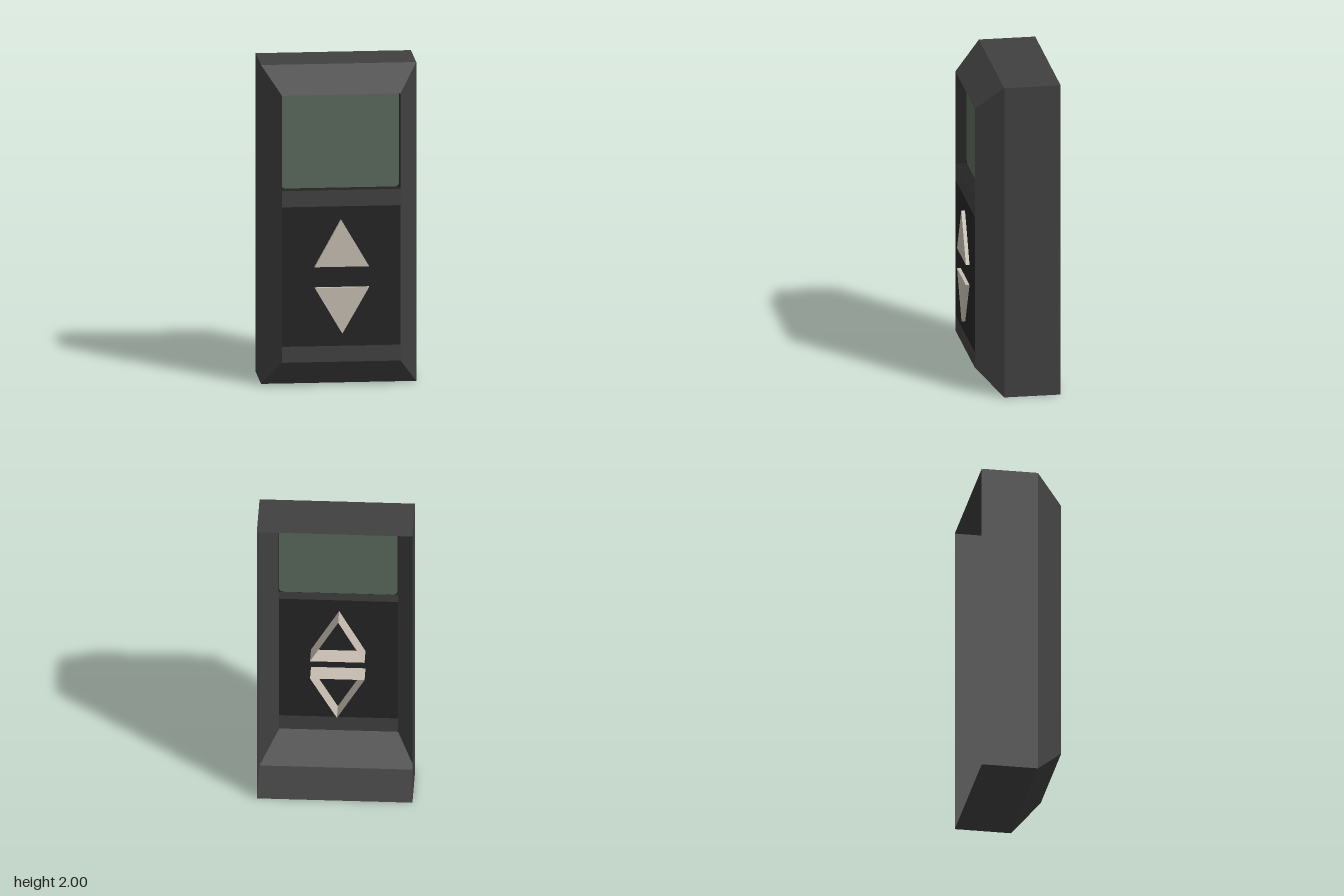
import * as THREE from 'three';

const material = (name, color) => {
  const m = new THREE.MeshStandardMaterial({ color, side: THREE.DoubleSide });
  m.name = name;
  return m;
};

// Rectangle outline, counter-clockwise seen from the front
const rect = (w, y0, y1) => [[-w, y0], [w, y0], [w, y1], [-w, y1]];

// Flat-sided skin through outlines ordered from back to front
function loft(sections) {
  const pos = [];
  for (let s = 0; s < sections.length - 1; s++) {
    const a = sections[s], b = sections[s + 1], n = a.points.length;
    for (let i = 0; i < n; i++) {
      const j = (i + 1) % n;
      const p = [...a.points[i], a.z], q = [...a.points[j], a.z];
      const r = [...b.points[j], b.z], t = [...b.points[i], b.z];
      pos.push(...p, ...q, ...r, ...p, ...r, ...t);
    }
  }
  const g = new THREE.BufferGeometry();
  g.setAttribute('position', new THREE.Float32BufferAttribute(pos, 3));
  g.computeVertexNormals();
  return g;
}

const polygon = (points) => new THREE.Shape(points.map(([x, y]) => new THREE.Vector2(x, y)));

function roundedRect(w, y0, y1, r) {
  const s = new THREE.Shape();
  s.absarc(w - r, y1 - r, r, 0, Math.PI / 2);
  s.absarc(-w + r, y1 - r, r, Math.PI / 2, Math.PI);
  s.absarc(-w + r, y0 + r, r, Math.PI, Math.PI * 1.5);
  s.absarc(w - r, y0 + r, r, Math.PI * 1.5, Math.PI * 2);
  s.closePath();
  return s;
}

export function createModel() {
  const model = new THREE.Group();
  model.name = 'handheldRemote';
  const casing = material('charcoal casing', 0x404040);
  const dark = material('black panel', 0x242424);
  const glass = material('grey green screen', 0x5a685b);
  const cream = material('warm grey buttons', 0xc5bcaf);

  const add = (name, geometry, mat, z = 0, parent = model) => {
    const mesh = new THREE.Mesh(geometry, mat);
    mesh.name = name;
    mesh.position.z = z;
    parent.add(mesh);
  };
  const W = 0.365, FRONT = 0.245, RECESS = 0.175;

  // Hollow casing with a bevelled front rim and open back
  add('casing', loft([
    { points: rect(0.478, 0, 2), z: -0.27 },
    { points: rect(0.478, 0, 2), z: 0.08 },
    { points: rect(W, 0.165, 1.84), z: FRONT },
  ]), casing);

  // Front face: two casing bands around the keypad panel
  add('lowerBand', new THREE.ShapeGeometry(polygon(rect(W, 0.165, 0.265))), casing, FRONT);
  add('keypadPanel', new THREE.ShapeGeometry(polygon(rect(W, 0.265, 1.14))), dark, FRONT);
  add('upperBand', new THREE.ShapeGeometry(polygon(rect(W, 1.14, 1.242))), casing, FRONT);

  // Sunken screen with rounded corners
  const opening = rect(W, 1.242, 1.84);
  add('screenRecess', loft([
    { points: [...opening].reverse(), z: RECESS },
    { points: [...opening].reverse(), z: FRONT },
  ]), dark);
  const screenShape = roundedRect(W - 0.001, 1.243, 1.839, 0.03);
  const surround = polygon(opening);
  surround.holes.push(new THREE.Path(screenShape.getPoints(6)));
  add('screenCorners', new THREE.ShapeGeometry(surround), dark, RECESS);
  add('screen', new THREE.ShapeGeometry(screenShape, 6), glass, RECESS);

  // Triangular buttons: hollow sleeves through the panel, capped in front
  const buttons = {
    upButton: [[-0.165, 0.765], [0.17, 0.765], [-0.003, 1.06]],
    downButton: [[0.17, 0.635], [-0.165, 0.635], [0.005, 0.345]],
  };
  for (const [name, points] of Object.entries(buttons)) {
    const button = new THREE.Group();
    button.name = name;
    model.add(button);
    add(name + 'Sleeve', loft([{ points, z: 0.12 }, { points, z: 0.268 }]), cream, 0, button);
    add(name + 'Cap', new THREE.ShapeGeometry(polygon(points)), cream, 0.268, button);
  }
  return model;
}
